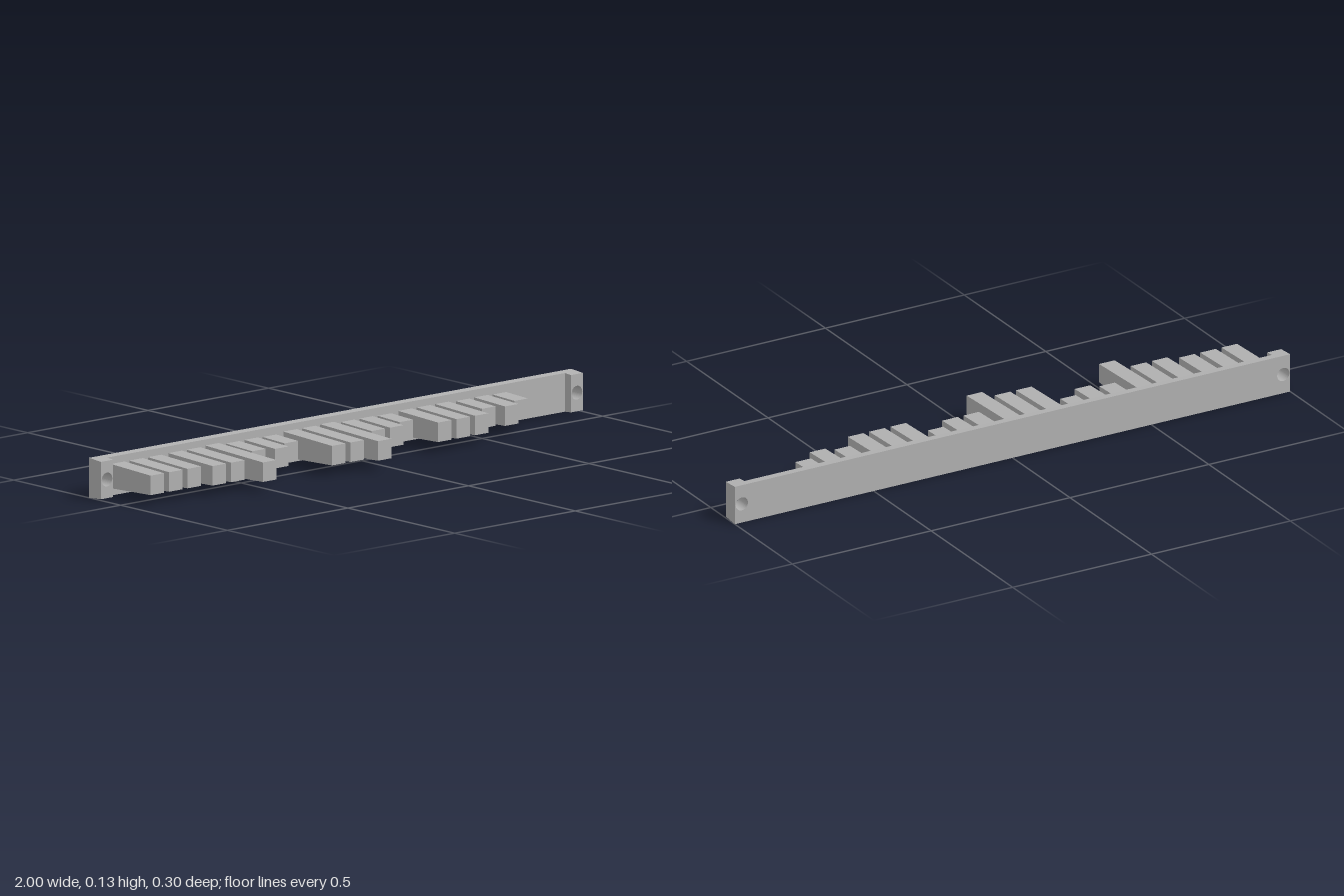
import * as THREE from 'three';

const MID = 0.0635;    // height of the centre line
const BACK = -0.148;   // rear face
const FACE = -0.12;    // front face of the strip
const DRAFT = 0.075;   // draft of the backing strip

// Narrow the top and bottom edges towards the front, leaving holes round
function draft(geometry, slope) {
  const p = geometry.attributes.position;
  for (let i = 0; i < p.count; i++) {
    const dy = p.getY(i) - MID;
    if (Math.abs(dy) > 0.05) p.setY(i, p.getY(i) - Math.sign(dy) * slope * (p.getZ(i) - BACK));
  }
  geometry.computeVertexNormals();
  return geometry;
}

// Upright slab from x0 to x1, optionally with a round hole
function slab(x0, x1, depth, holeX) {
  const shape = new THREE.Shape();
  shape.moveTo(x0, 0);
  shape.lineTo(x1, 0);
  shape.lineTo(x1, 2 * MID);
  shape.lineTo(x0, 2 * MID);
  shape.closePath();
  if (holeX !== undefined) {
    const hole = new THREE.Path();
    hole.absarc(holeX, MID, 0.022, 0, Math.PI * 2, true);
    shape.holes.push(hole);
  }
  const g = new THREE.ExtrudeGeometry(shape, { depth, bevelEnabled: false, curveSegments: 20 });
  g.translate(0, 0, BACK);
  return draft(g, DRAFT);
}

// Square bar that gets slightly taller towards its root
function toothGeometry(tip) {
  const length = tip - FACE;
  const g = new THREE.BoxGeometry(0.056, 0.062, length);
  const p = g.attributes.position;
  for (let i = 0; i < p.count; i++) {
    if (p.getZ(i) < 0) p.setY(i, p.getY(i) + Math.sign(p.getY(i)) * 0.04 * length);
  }
  g.translate(0, 0.064, FACE + length / 2);
  g.computeVertexNormals();
  return g;
}

export function createModel() {
  const model = new THREE.Group();
  model.name = 'toothedStrip';
  const grey = new THREE.MeshStandardMaterial({ color: 0xb0b0b0 });
  grey.name = 'grey';
  const add = (name, geometry) => {
    const mesh = new THREE.Mesh(geometry, grey);
    mesh.name = name;
    model.add(mesh);
    return mesh;
  };

  // Backing strip and thicker pierced ends
  add('backingStrip', slab(-0.95, 0.95, FACE - BACK));
  add('leftMount', slab(0.95, 1, 0.056, 0.975));
  add('rightMount', slab(-1, -0.95, 0.056, -0.975));

  // Teeth in groups of three; each number counts length steps
  const groups = [[4, 4, 4], [5, 5, 8], [1, 2, 0], [6, 6, 8], [2, 2, 0], [4, 4, 4], [1, 2, 0]];
  groups.forEach((steps, i) => steps.forEach((step, j) => {
    const tooth = add(`tooth${i * 3 + j + 1}`, toothGeometry(-0.018 + 0.021 * step));
    tooth.position.x = -0.906 + i * 0.2385 + j * 0.0765;
  }));

  return model;
}
